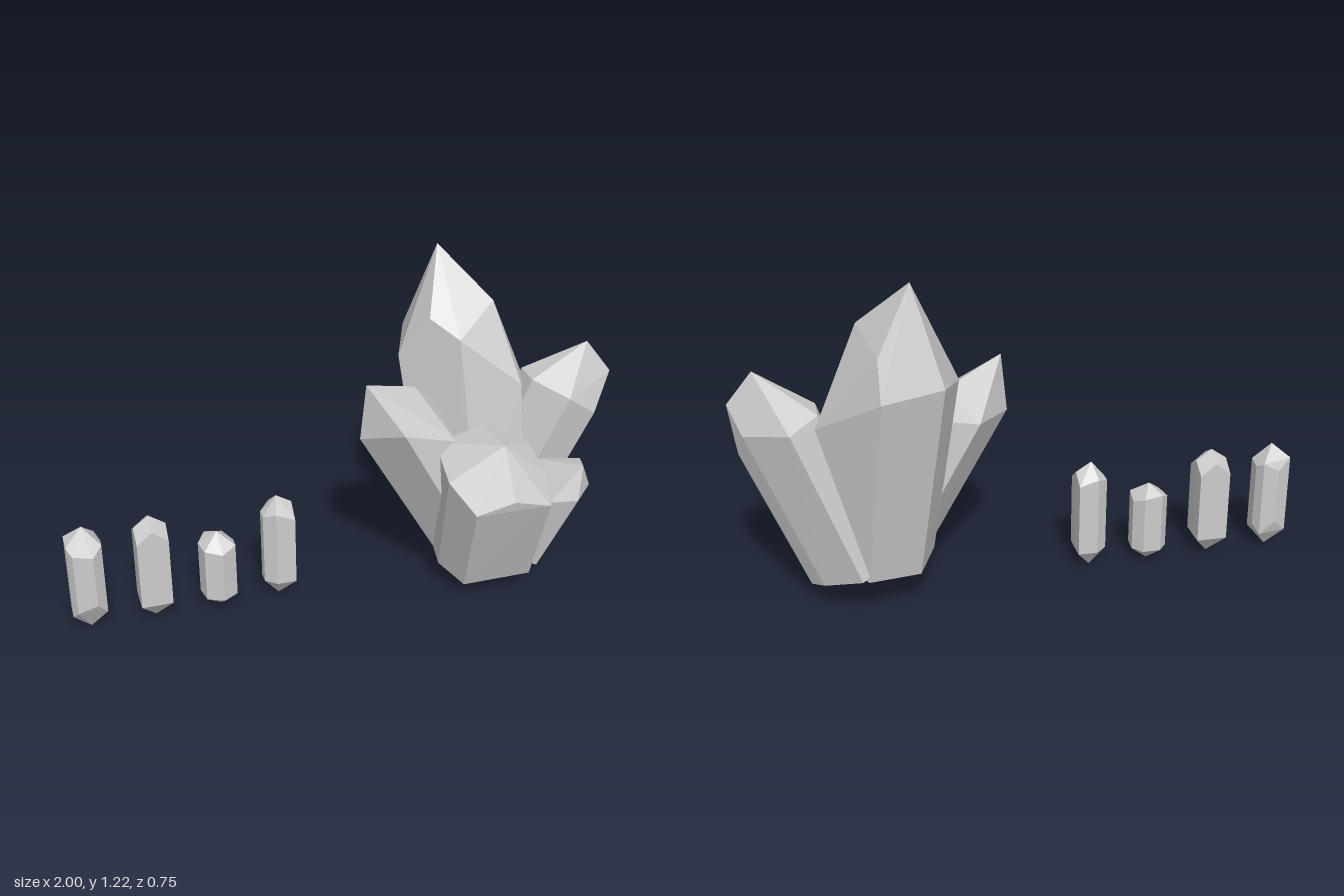
import * as THREE from 'three';
import { ConvexGeometry } from 'three/addons/geometries/ConvexGeometry.js';

const material = new THREE.MeshStandardMaterial({
  color: 0xcccccc, flatShading: true, side: THREE.DoubleSide,
});
const vec = (p) => new THREE.Vector3(...p);

function namedMesh(name, geometry) {
  const mesh = new THREE.Mesh(geometry, material);
  mesh.name = name;
  return mesh;
}

// Removes the triangles that face straight against the axis, leaving the root end open.
function openRoot(geometry, axis) {
  const position = geometry.getAttribute('position');
  const normal = geometry.getAttribute('normal');
  const kept = [];
  for (let i = 0; i < position.count; i++) {
    if (new THREE.Vector3().fromBufferAttribute(normal, i).dot(axis) > -0.99) {
      kept.push(new THREE.Vector3().fromBufferAttribute(position, i));
    }
  }
  const open = new THREE.BufferGeometry().setFromPoints(kept);
  open.computeVertexNormals();
  return open;
}

// Leaning crystal: the shoulder corners run along the axis to a smaller ring around the base.
function clusterCrystal({ name, tip, base, scale, shoulder }) {
  const ring = shoulder.map(vec);
  const root = vec(base);
  const centre = new THREE.Vector3();
  ring.forEach((p) => centre.addScaledVector(p, 1 / ring.length));
  const axis = centre.clone().sub(root).normalize();
  const foot = ring.map((p) =>
    p.clone().sub(centre).projectOnPlane(axis).multiplyScalar(scale).add(root));
  return namedMesh(name, openRoot(new ConvexGeometry([vec(tip), ...ring, ...foot]), axis));
}

// Loose crystal: upright prism, pointed at both ends. Outline entries are [dx, dz, top, bottom].
function looseCrystal({ name, x, height, lower, outline }) {
  const points = [new THREE.Vector3(x, height, -0.04), new THREE.Vector3(x, 0, -0.04)];
  for (const [dx, dz, top, bottom = lower] of outline) {
    points.push(new THREE.Vector3(x + dx, top, dz - 0.04));
    points.push(new THREE.Vector3(x + dx, bottom, dz - 0.04));
  }
  return namedMesh(name, new ConvexGeometry(points));
}

const clusterCrystals = [
  {
    name: 'tallBackCrystal', tip: [0.41, 1.215, -0.25], base: [0.535, 0.17, -0.055], scale: 0.88,
    shoulder: [
      [0.32, 0.88, -0.34], [0.53, 1.0, -0.33], [0.53, 0.86, -0.374], [0.725, 0.7, -0.155],
      [0.57, 1.04, -0.1], [0.64, 0.76, 0.03], [0.42, 0.94, -0.02], [0.335, 1.0, -0.1],
      [0.246, 0.84, -0.17],
    ],
  },
  {
    name: 'leftLeaningCrystal', tip: [0.065, 0.84, 0.02], base: [0.485, 0.185, 0.01], scale: 0.9,
    shoulder: [
      [0.045, 0.63, 0.016], [0.16, 0.7, 0.166], [0.36, 0.63, 0.13],
      [0.36, 0.67, -0.09], [0.27, 0.765, -0.06], [0.165, 0.64, -0.11],
    ],
  },
  {
    name: 'frontCrystal', tip: [0.475, 0.677, 0.284], base: [0.5, 0.115, 0.085], scale: 0.93,
    shoulder: [
      [0.287, 0.55, 0.26], [0.355, 0.46, 0.358], [0.49, 0.5, 0.372], [0.625, 0.46, 0.368],
      [0.645, 0.53, 0.27], [0.63, 0.59, 0.14], [0.48, 0.65, 0.08], [0.3, 0.61, 0.085],
    ],
  },
  {
    name: 'rightLeaningCrystal', tip: [0.91, 0.87, -0.022], base: [0.645, 0.13, -0.105], scale: 0.9,
    shoulder: [
      [1.0, 0.75, 0], [0.975, 0.58, -0.03], [0.957, 0.67, -0.09], [0.81, 0.71, -0.215],
      [0.71, 0.74, -0.13], [0.71, 0.74, -0.03], [0.81, 0.7, 0.08], [0.92, 0.62, 0.065],
    ],
  },
  {
    name: 'smallFrontCrystal', tip: [0.8, 0.52, 0.245], base: [0.67, 0.105, 0.09], scale: 0.85,
    shoulder: [
      [0.86, 0.4, 0.19], [0.845, 0.48, 0.13], [0.775, 0.4, 0.28],
      [0.68, 0.39, 0.25], [0.655, 0.4, 0.16], [0.7, 0.48, 0.09], [0.825, 0.43, 0.08],
    ],
  },
];

const looseCrystals = [
  {
    name: 'looseCrystalOne', x: -0.938, height: 0.42, lower: 0.07,
    outline: [
      [-0.062, -0.035, 0.37], [-0.012, -0.058, 0.33, 0.12], [0.045, -0.052, 0.36],
      [0.062, -0.02, 0.34, 0.1], [0.06, 0.03, 0.35], [0.025, 0.06, 0.32, 0.12],
      [-0.045, 0.06, 0.34, 0.1], [-0.062, 0.03, 0.36],
    ],
  },
  {
    name: 'looseCrystalTwo', x: -0.705, height: 0.42, lower: 0.075,
    outline: [
      [-0.056, -0.056, 0.34], [0, -0.057, 0.385], [0.056, -0.056, 0.34], [0.057, 0, 0.38],
      [0.056, 0.056, 0.34], [0, 0.057, 0.385], [-0.056, 0.056, 0.34], [-0.057, 0, 0.38],
    ],
  },
  {
    name: 'looseCrystalThree', x: -0.47, height: 0.31, lower: 0.055,
    outline: [
      [-0.066, -0.02, 0.26], [-0.035, -0.057, 0.28], [0.03, -0.057, 0.27], [0.063, -0.02, 0.25],
      [0.058, 0.04, 0.265], [0.005, 0.072, 0.25], [-0.055, 0.045, 0.26],
    ],
  },
  {
    name: 'looseCrystalFour', x: -0.25, height: 0.42, lower: 0.075,
    outline: [
      [-0.055, -0.02, 0.35], [-0.015, -0.056, 0.37], [0.055, -0.056, 0.35], [0.056, 0, 0.385],
      [0.055, 0.056, 0.34], [-0.015, 0.056, 0.37], [-0.055, 0.022, 0.35],
    ],
  },
];

export function createModel() {
  const model = new THREE.Group();
  model.name = 'crystals';

  // Five crystals growing from one root
  const cluster = new THREE.Group();
  cluster.name = 'crystalCluster';
  cluster.add(...clusterCrystals.map(clusterCrystal));

  // Row of four separate shards
  const shards = new THREE.Group();
  shards.name = 'looseCrystals';
  shards.add(...looseCrystals.map(looseCrystal));

  model.add(cluster, shards);
  return model;
}
